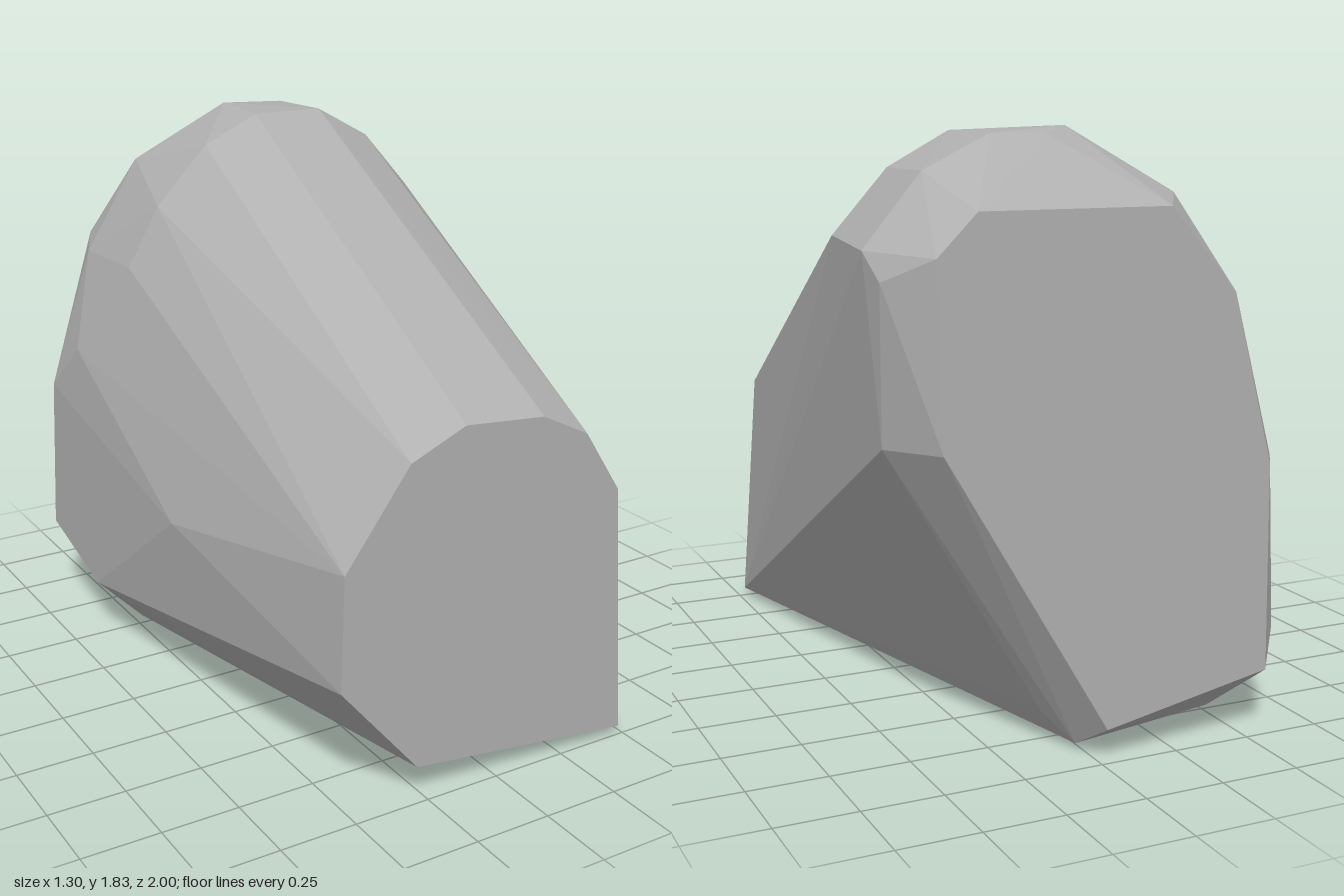
import * as THREE from 'three';
import { ConvexGeometry } from 'three/addons/geometries/ConvexGeometry.js';

export function createModel() {
  const group = new THREE.Group();
  group.name = 'facetedBlock';
  const grey = new THREE.MeshStandardMaterial({ color: 0xb0b0b0, flatShading: true });
  grey.name = 'stone grey';

  // Flat front and back ends as x, y outlines, very slightly turned
  const front = [[0.48, 0.03], [0.42, 0.85], [0.29, 1.05], [0.13, 1.13], [-0.14, 1.15],
    [-0.32, 1.07], [-0.53, 0.78], [-0.54, 0.42], [-0.28, 0.11]]
    .map(([x, y]) => [x, y, 0.99 + 0.02 * x]);
  const back = [[0.5, 0.96], [0.52, 1.49], [0.4, 1.61], [-0.2, 1.61], [-0.42, 1.36],
    [-0.56, 0.84], [-0.57, 0.2], [-0.02, 0.1]]
    .map(([x, y]) => [x, y, -0.993 - 0.013 * x]);

  // Shoulder where the long body meets the rounded back rim
  const shoulder = [[0.63, 1.52, -0.5], [0.46, 1.71, -0.5], [0.27, 1.815, -0.51],
    [0, 1.82, -0.48], [-0.2, 1.73, -0.47], [-0.39, 1.54, -0.46], [-0.5, 1.34, -0.47],
    [-0.62, 1.02, -0.67], [-0.645, 0.65, 0.12]];

  // Bevelled rim around the back
  const rim = [[0.6, 0.95, -0.8], [0.63, 1.42, -0.87], [0.65, 1.5, -0.79],
    [0.47, 1.71, -0.78], [0.27, 1.81, -0.79], [0.1, 1.81, -0.79], [0, 1.83, -0.72],
    [-0.3, 1.64, -0.83], [-0.5, 1.33, -0.82], [-0.64, 0.84, -0.87], [-0.655, 0.3, -0.89]];

  // Underside and lower bevels
  const underside = [[-0.655, 0.2, -0.5], [-0.49, 0.03, -0.5], [-0.49, 0.03, -0.79],
    [-0.25, 0.01, -0.8], [0, 0, -0.5], [0.02, 0.02, -0.87], [0.1, 0.11, -0.8],
    [0.29, 0.39, -0.72]];

  const points = [...front, ...back, ...shoulder, ...rim, ...underside]
    .map((p) => new THREE.Vector3(...p));
  const body = new THREE.Mesh(new ConvexGeometry(points), grey);
  body.name = 'body';
  group.add(body);
  return group;
}
